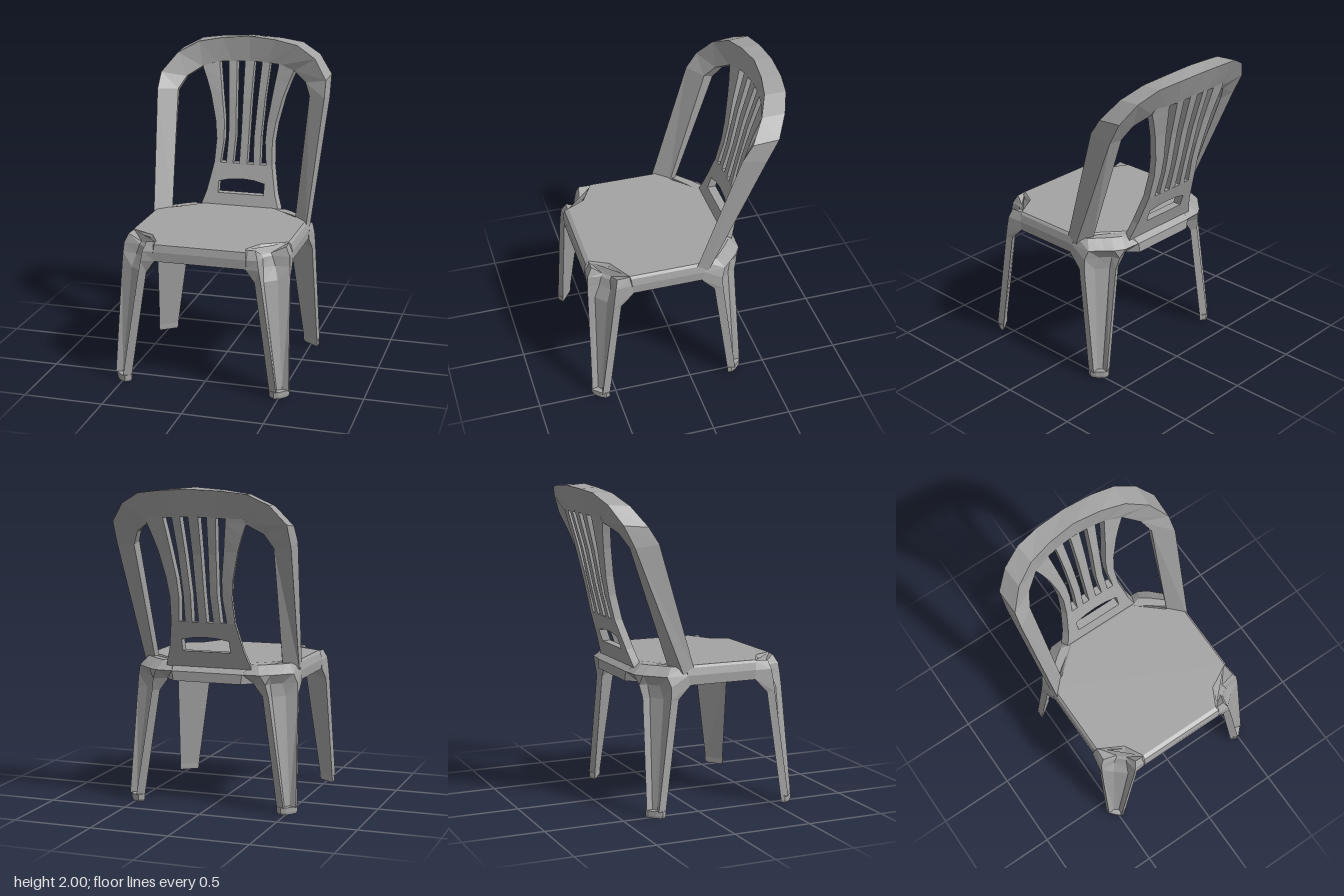
import * as THREE from 'three';

const plastic = new THREE.MeshStandardMaterial({ color: 0xa3a3a3 });
plastic.name = 'grey plastic';

// Skin a closed, capped solid over rings of [x, y, z] points
function loft(name, rings) {
  const tris = [];
  const n = rings[0].length;
  for (let r = 0; r < rings.length - 1; r++) {
    for (let i = 0; i < n; i++) {
      const j = (i + 1) % n;
      const a = rings[r][i], b = rings[r][j], c = rings[r + 1][j], d = rings[r + 1][i];
      tris.push([a, b, c], [a, c, d]);
    }
  }
  const cap = (ring, flip) => {
    // project on the plane of the two widest axes
    const size = [0, 1, 2].map(k => Math.max(...ring.map(p => p[k])) - Math.min(...ring.map(p => p[k])));
    const drop = size.indexOf(Math.min(...size));
    const [u, v] = [0, 1, 2].filter(k => k !== drop);
    const flat = ring.map(p => new THREE.Vector2(p[u], p[v]));
    const reversed = THREE.ShapeUtils.area(flat) < 0;
    for (const [i, j, k] of THREE.ShapeUtils.triangulateShape(flat, [])) {
      tris.push(reversed !== flip ? [ring[i], ring[k], ring[j]] : [ring[i], ring[j], ring[k]]);
    }
  };
  cap(rings[0], true);
  cap(rings[rings.length - 1], false);

  // turn the whole skin outward
  let volume = 0;
  for (const [a, b, c] of tris) {
    volume += a[0] * (b[1] * c[2] - b[2] * c[1])
      + a[1] * (b[2] * c[0] - b[0] * c[2])
      + a[2] * (b[0] * c[1] - b[1] * c[0]);
  }
  const corners = tris.flatMap(([a, b, c]) => (volume < 0 ? [a, c, b] : [a, b, c]));
  const geometry = new THREE.BufferGeometry();
  geometry.setAttribute('position', new THREE.Float32BufferAttribute(corners.flat(), 3));
  geometry.computeVertexNormals();
  const mesh = new THREE.Mesh(geometry, plastic);
  mesh.name = name;
  return mesh;
}

// Horizontal ring from [x, z] points; a third number overrides the height
const level = (y, pts, sx = 1) => pts.map(([x, z, ownY = y]) => [x * sx, ownY, z]);
const mirrorX = ring => ring.map(([x, y, z]) => [-x, y, z]);

// Seat slab with notched front corners and chamfered back corners
function makeSeat() {
  const ring = (y, half) => {
    const right = level(y, half);
    return [...right, ...mirrorX(right).reverse()];
  };
  return loft('seat', [
    ring(0.80, [[0.29, 0.622], [0.37, 0.52], [0.515, 0.38], [0.515, -0.07], [0.42, -0.17], [0.22, -0.372]]),
    ring(0.86, [[0.29, 0.625], [0.365, 0.515], [0.518, 0.38], [0.518, -0.08], [0.42, -0.17], [0.23, -0.37]]),
    ring(0.905, [[0.285, 0.615], [0.345, 0.485], [0.508, 0.385], [0.508, -0.09], [0.41, -0.15], [0.24, -0.315]]),
    ring(0.92, [[0.28, 0.59], [0.34, 0.475], [0.495, 0.39], [0.495, -0.1], [0.40, -0.14], [0.24, -0.28]]),
  ]);
}

// Legs: channels open to the outer corner, tapering and splaying down to a closed foot
const frontLeg = [
  [0.04, [[0.44, 0.63], [0.49, 0.652], [0.485, 0.612], [0.512, 0.592], [0.555, 0.6], [0.548, 0.55]]],
  [0.72, [[0.34, 0.612], [0.385, 0.632], [0.392, 0.588], [0.462, 0.528], [0.535, 0.505], [0.525, 0.455]]],
  [0.80, [[0.285, 0.62], [0.37, 0.628], [0.38, 0.555], [0.44, 0.5], [0.53, 0.495], [0.52, 0.375]]],
  [0.86, [[0.28, 0.622], [0.36, 0.622], [0.375, 0.54], [0.42, 0.495], [0.525, 0.485], [0.515, 0.375]]],
  [0.915, [[0.275, 0.595], [0.34, 0.592], [0.365, 0.53, 0.875], [0.41, 0.485, 0.875], [0.50, 0.47], [0.495, 0.38]]],
];
const backLeg = [
  [0.04, [[0.44, -0.32], [0.49, -0.342], [0.485, -0.302], [0.512, -0.282], [0.555, -0.29], [0.548, -0.24]]],
  [0.72, [[0.34, -0.302], [0.385, -0.322], [0.392, -0.278], [0.462, -0.218], [0.535, -0.2], [0.525, -0.145]]],
  [0.80, [[0.28, -0.305], [0.37, -0.34], [0.385, -0.29], [0.445, -0.235], [0.53, -0.195], [0.52, -0.065]]],
  [0.86, [[0.22, -0.368], [0.34, -0.362], [0.40, -0.325], [0.44, -0.285], [0.512, -0.215], [0.518, -0.08]]],
  [0.915, [[0.24, -0.285], [0.31, -0.30], [0.36, -0.265], [0.41, -0.22], [0.47, -0.17], [0.495, -0.1]]],
];
const foot = [[0.44, 0.63], [0.475, 0.655], [0.505, 0.645], [0.54, 0.608], [0.557, 0.575], [0.55, 0.55]];

function makeLeg(name, side, back) {
  const footRing = (y, pts) => level(y, back ? pts.map(([x, z]) => [x, 0.31 - z]) : pts, side);
  const sole = foot.map(([x, z]) => [0.5 + (x - 0.5) * 0.9, 0.6 + (z - 0.6) * 0.9]);
  const group = new THREE.Group();
  group.name = name;
  group.add(loft('legChannel', (back ? backLeg : frontLeg).map(([y, pts]) => level(y, pts, side))));
  group.add(loft('foot', [footRing(0, sole), footRing(0.015, foot), footRing(0.045, foot)]));
  return group;
}

// Arched back frame; each ring is outer front, inner front, inner back, outer back
function makeFrame() {
  const half = [
    [[0.505, 0.87, -0.025], [0.41, 0.87, -0.125], [0.425, 0.87, -0.16], [0.515, 0.87, -0.11]],
    [[0.555, 1.67, -0.285], [0.44, 1.66, -0.37], [0.45, 1.64, -0.43], [0.56, 1.65, -0.44]],
    [[0.55, 1.77, -0.35], [0.40, 1.735, -0.43], [0.405, 1.725, -0.48], [0.555, 1.785, -0.51]],
    [[0.46, 1.89, -0.43], [0.31, 1.795, -0.49], [0.31, 1.785, -0.54], [0.465, 1.9, -0.572]],
    [[0.33, 1.96, -0.49], [0.22, 1.825, -0.515], [0.22, 1.815, -0.57], [0.34, 1.965, -0.62]],
    [[0.18, 1.985, -0.523], [0.12, 1.832, -0.532], [0.12, 1.822, -0.585], [0.19, 1.982, -0.645]],
  ];
  const middle = [[0, 2.0, -0.54], [0, 1.835, -0.54], [0, 1.825, -0.59], [0, 1.99, -0.655]];
  return loft('backFrame', [...half, middle, ...half.map(mirrorX).reverse()]);
}

// Front surface of the splat: leans back with height, curves forward at the sides
const leanY = [0.86, 0.92, 1.18, 1.38, 1.6, 1.85];
const leanZ = [-0.27, -0.29, -0.38, -0.428, -0.475, -0.543];
function splatZ(x, y) {
  let i = 0;
  while (i < leanY.length - 2 && y > leanY[i + 1]) i++;
  const z = THREE.MathUtils.mapLinear(y, leanY[i], leanY[i + 1], leanZ[i], leanZ[i + 1]);
  return z + x * x * 0.4 * Math.max(0, y - 0.92);
}
const THICK = 0.055;

// Upright strip from rows of [y, x0, x1]; flare widens the back of the outer edge
const strip = (name, rows, side = 1, flare = 0) => loft(name, rows.map(([y, x0, x1]) => [
  [x0 * side, y, splatZ(x0, y)], [(x1 - flare / 2) * side, y, splatZ(x1, y)],
  [(x1 + flare) * side, y, splatZ(x1, y) - THICK], [x0 * side, y, splatZ(x0, y) - THICK],
]));

function makeSplat() {
  const splat = new THREE.Group();
  splat.name = 'backSplat';
  for (const side of [1, -1]) {
    splat.add(strip('splatSide', [
      [0.87, 0.155, 0.275], [0.92, 0.155, 0.262], [1.0, 0.155, 0.235], [1.18, 0.155, 0.2],
      [1.33, 0.14, 0.193], [1.45, 0.145, 0.207], [1.62, 0.17, 0.247], [1.72, 0.184, 0.282],
      [1.79, 0.195, 0.31], [1.83, 0.2, 0.29],
    ], side, 0.008));
    splat.add(strip('slat', [
      [1.17, 0.07, 0.115], [1.35, 0.062, 0.11], [1.6, 0.073, 0.122], [1.835, 0.085, 0.14],
    ], side));
  }
  splat.add(strip('middleSlat', [[1.17, -0.026, 0.026], [1.38, -0.026, 0.026], [1.6, -0.028, 0.028], [1.835, -0.032, 0.032]]));
  splat.add(strip('lowerRail', [[0.86, -0.16, 0.16], [0.92, -0.16, 0.16], [0.99, -0.16, 0.16]]));

  // Rail with an arched lower edge above the hand opening
  const arch = [-0.16, -0.08, 0, 0.08, 0.16].map(x => {
    const low = 1.085 - 0.9 * x * x, top = 1.18;
    return [
      [x, low, splatZ(x, low)], [x, top, splatZ(x, top)],
      [x, top, splatZ(x, top) - THICK], [x, low, splatZ(x, low) - THICK],
    ];
  });
  splat.add(loft('archedRail', arch));
  return splat;
}

export function createModel() {
  const chair = new THREE.Group();
  chair.name = 'chair';
  chair.add(makeSeat(), makeFrame(), makeSplat());
  for (const side of [1, -1]) {
    const label = side > 0 ? 'Left' : 'Right';
    chair.add(makeLeg('front' + label + 'Leg', side, false));
    chair.add(makeLeg('back' + label + 'Leg', side, true));
  }
  return chair;
}
